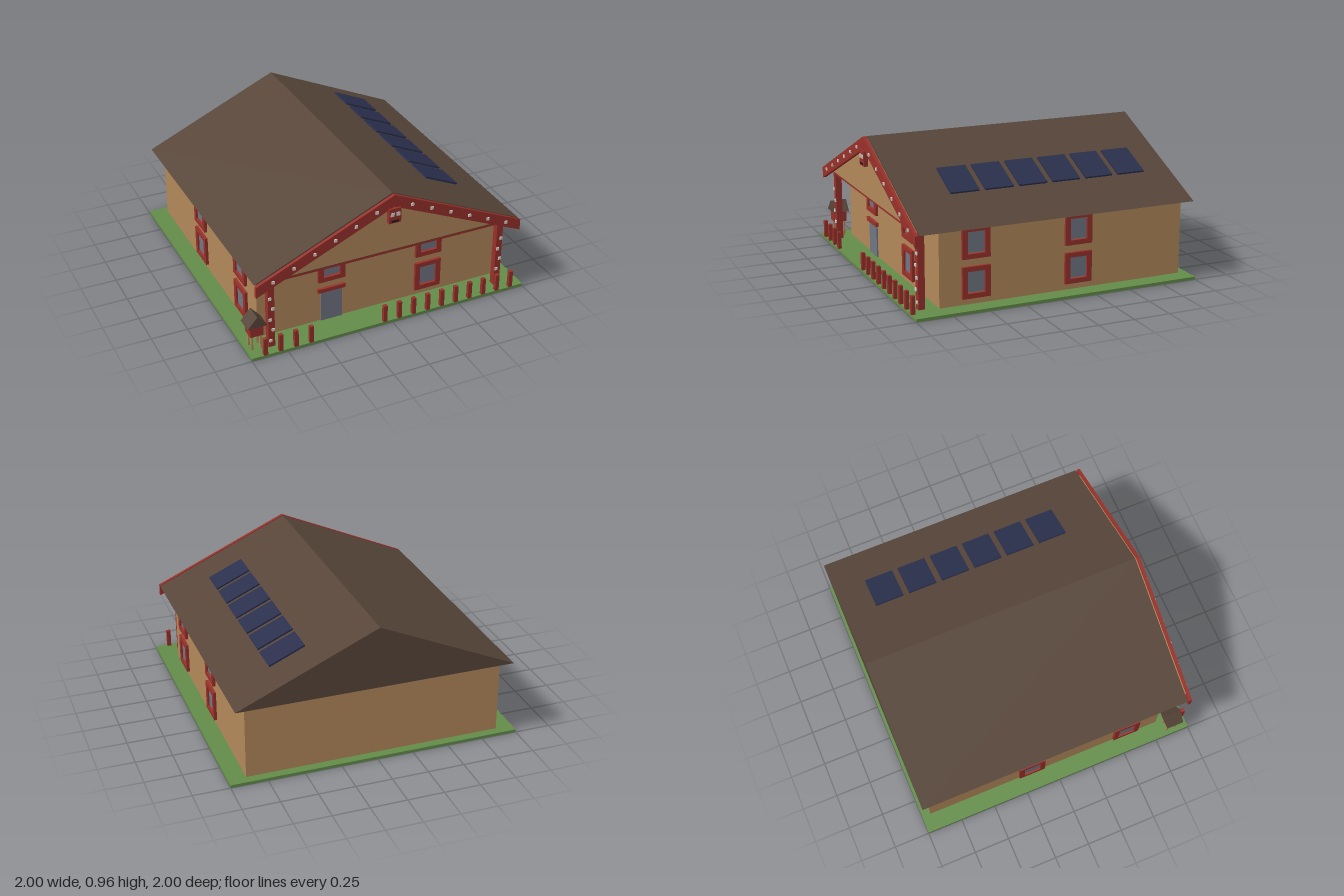
import * as THREE from 'three';

export function createModel() {
  const model = new THREE.Group();
  const mat = (name, color) => {
    const m = new THREE.MeshStandardMaterial({ color });
    m.name = name;
    return m;
  };
  const grass = mat('grass green', 0x628c48);
  const tan = mat('tan wall', 0xb2885a);
  const brown = mat('roof brown', 0x574539);
  const red = mat('carved red', 0x99302a);
  const glass = mat('grey glass', 0x707581);
  const navy = mat('solar navy', 0x2a2f4d);
  const shell = mat('pale shell', 0xd2d0ca);
  const black = mat('dark mouth', 0x1c1818);

  const add = (name, geometry, material, x = 0, y = 0, z = 0, parent = model) => {
    const mesh = new THREE.Mesh(geometry, material);
    mesh.name = name;
    mesh.position.set(x, y, z);
    parent.add(mesh);
    return mesh;
  };
  const box = (name, material, w, h, d, x, y, z, parent) =>
    add(name, new THREE.BoxGeometry(w, h, d), material, x, y, z, parent);
  // Outline in x,y pushed along z from z0 to z1
  const prism = (name, material, points, z0, z1, x = 0) => {
    const shape = new THREE.Shape(points.map(([px, py]) => new THREE.Vector2(px, py)));
    const geo = new THREE.ExtrudeGeometry(shape, { depth: z1 - z0, bevelEnabled: false });
    return add(name, geo, material, x, 0, z0);
  };

  // Ground and house body
  box('ground', grass, 2, 0.02, 2, 0, 0.01, 0);
  box('walls', tan, 1.76, 0.515, 1.74, 0, 0.2775, -0.07);

  // Roof and front gable
  const eaveX = 0.953, eaveY = 0.535, ridgeY = 0.962;
  const slope = (ridgeY - eaveY) / eaveX;
  prism('roof', brown, [[-eaveX, eaveY], [eaveX, eaveY], [0, ridgeY]], -0.995, 0.95);
  prism('gablePanel', tan, [[-0.9, 0.545], [0.9, 0.545], [0, 0.945]], 0.95, 0.96);

  // Bargeboards with shell studs
  prism('bargeboards', red, [
    [-eaveX, eaveY - 0.078], [0, ridgeY - 0.085], [eaveX, eaveY - 0.078],
    [eaveX, eaveY], [0, ridgeY], [-eaveX, eaveY],
  ], 0.96, 0.983);
  for (const s of [-1, 1]) {
    for (let i = 0; i < 6; i++) {
      const x = 0.126 + i * 0.1425;
      box('boardStud', shell, 0.02, 0.02, 0.01, s * x, ridgeY - 0.041 - slope * x, 0.986);
    }
  }

  // Carved mask at the apex
  const mask = new THREE.Group();
  mask.name = 'mask';
  mask.position.set(0, 0.817, 0.98);
  model.add(mask);
  box('maskFace', red, 0.086, 0.105, 0.03, 0, 0, 0, mask);
  for (const s of [-1, 1]) box('maskEye', shell, 0.026, 0.026, 0.008, s * 0.02, 0.012, 0.0155, mask);
  box('maskMouth', black, 0.05, 0.012, 0.008, 0, -0.037, 0.0155, mask);

  // Porch beam and posts with alternating studs
  box('porchBeam', red, 1.71, 0.036, 0.03, 0, 0.517, 0.908);
  for (const s of [-1, 1]) {
    box('porchPost', red, 0.045, 0.515, 0.045, s * 0.833, 0.2775, 0.908);
    for (let i = 0; i < 5; i++) {
      const x = 0.833 + (i % 2 ? -0.01 : 0.01);
      box('postStud', shell, 0.02, 0.02, 0.01, s * x, 0.07 + i * 0.08, 0.933);
    }
  }

  // Windows: frame with an opening, and a pane
  const frameShape = new THREE.Shape();
  frameShape.moveTo(-0.096, -0.105).lineTo(0.096, -0.105).lineTo(0.096, 0.105).lineTo(-0.096, 0.105);
  const hole = new THREE.Path();
  hole.moveTo(-0.06, -0.073).lineTo(-0.06, 0.073).lineTo(0.06, 0.073).lineTo(0.06, -0.073);
  frameShape.holes.push(hole);
  const frameGeo = new THREE.ExtrudeGeometry(frameShape, { depth: 0.02, bevelEnabled: false });
  const paneGeo = new THREE.BoxGeometry(0.118, 0.138, 0.008);
  const addWindow = (x, y, z, turn) => {
    const win = new THREE.Group();
    win.name = 'window';
    win.position.set(x, y, z);
    win.rotation.y = turn;
    model.add(win);
    add('windowFrame', frameGeo, red, 0, 0, 0, win);
    add('windowPane', paneGeo, glass, 0, 0.002, 0.004, win);
  };
  const rows = [0.168, 0.43];
  for (const y of rows) {
    addWindow(0.356, y, 0.8, 0);
    for (const z of [0.552, -0.17]) {
      for (const s of [-1, 1]) addWindow(s * 0.88, y, z, s * Math.PI / 2);
    }
  }
  addWindow(-0.356, rows[1], 0.8, 0);

  // Door and lintel
  box('door', glass, 0.152, 0.23, 0.01, -0.354, 0.135, 0.804);
  box('doorLintel', red, 0.196, 0.028, 0.02, -0.356, 0.259, 0.81);

  // Fence palings, with a gap at the door
  for (let i = 0; i < 18; i++) {
    if (i >= 4 && i <= 7) continue;
    box('fencePost', red, 0.028, 0.122, 0.025, -0.903 + i * 0.1063, 0.081, 0.9875);
  }

  // Small raised storehouse
  const hutX = -0.932, hutZ = 0.879;
  box('storehouseBody', red, 0.09, 0.08, 0.09, hutX, 0.165, hutZ);
  prism('storehouseRoof', brown, [[-0.068, 0.202], [0.068, 0.202], [0, 0.28]], 0.819, 0.939, hutX);
  for (const sx of [-1, 1]) {
    for (const sz of [-1, 1]) {
      box('storehouseLeg', tan, 0.012, 0.11, 0.012, hutX + sx * 0.03, 0.075, hutZ + sz * 0.03);
    }
  }

  // Solar panels above the left roof slope
  for (let i = 0; i < 6; i++) {
    const panel = box('solarPanel', navy, 0.264, 0.012, 0.2, 0.541, 0.75, -0.676 + i * 0.2408);
    panel.rotation.z = -Math.atan(slope);
  }

  return model;
}
